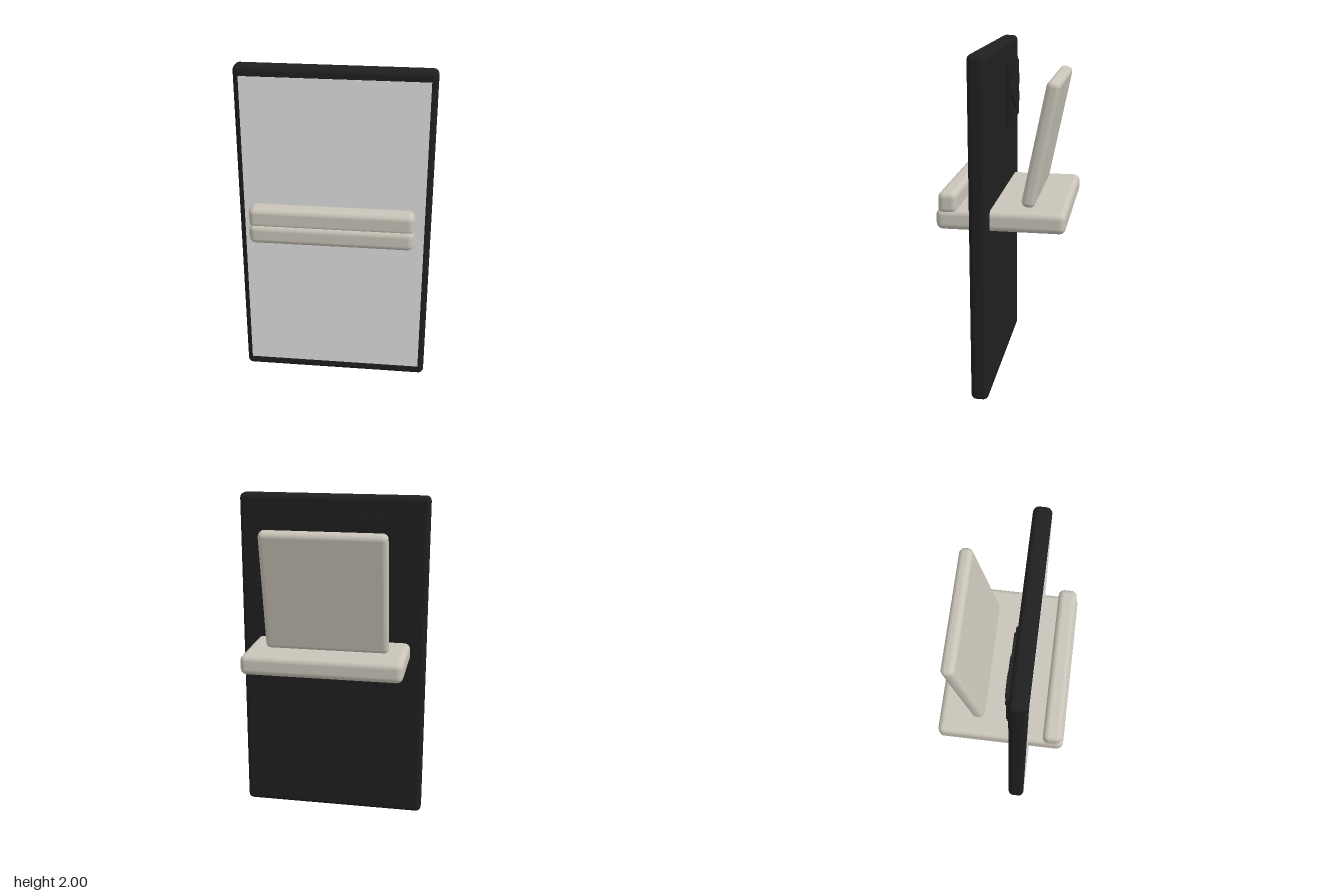
import * as THREE from 'three';
import { RoundedBoxGeometry } from 'three/addons/geometries/RoundedBoxGeometry.js';

const material = (name, color) => {
  const m = new THREE.MeshStandardMaterial({ color });
  m.name = name;
  return m;
};

export function createModel() {
  const group = new THREE.Group();
  group.name = 'phoneOnStand';
  const black = material('black casing', 0x1f1f1f);
  const grey = material('light grey screen', 0xe0e0e0);
  const beige = material('warm beige stand', 0xc9c4b8);

  const add = (name, geometry, mat, x, y, z) => {
    const mesh = new THREE.Mesh(geometry, mat);
    mesh.name = name;
    mesh.position.set(x, y, z);
    group.add(mesh);
    return mesh;
  };
  const rounded = (w, h, d, r) => new RoundedBoxGeometry(w, h, d, 4, r);

  // Phone body and its flat screen
  add('phoneBody', rounded(1.134, 2, 0.102, 0.032), black, 0, 1, 0.106);
  add('screen', new THREE.BoxGeometry(1.064, 1.88, 0.004), grey, -0.002, 1.002, 0.157);

  // Stepped camera plate with three overlapping lenses on the back
  add('cameraPlate', new THREE.BoxGeometry(0.396, 0.37, 0.018), black, -0.279, 1.685, 0.051);
  add('cameraPlateStep', new THREE.BoxGeometry(0.36, 0.345, 0.008), black, -0.289, 1.685, 0.039);
  for (const [x, y] of [[-0.355, 1.74], [-0.355, 1.63], [-0.245, 1.685]]) {
    const lens = add('cameraLens', new THREE.CylinderGeometry(0.07, 0.07, 0.016, 32), black, x, y, 0.033);
    lens.rotation.x = Math.PI / 2;
  }

  // Stand: base tray, front lip and leaning back rest
  add('standBase', rounded(0.946, 0.12, 0.732, 0.036), beige, 0, 1.065, -0.002);
  add('frontLip', rounded(0.946, 0.126, 0.108, 0.034), beige, 0, 1.161, 0.297);
  const rest = add('backRest', rounded(0.732, 0.73, 0.078, 0.032), beige, -0.002, 1.478, -0.211);
  rest.rotation.x = -0.202;

  return group;
}
